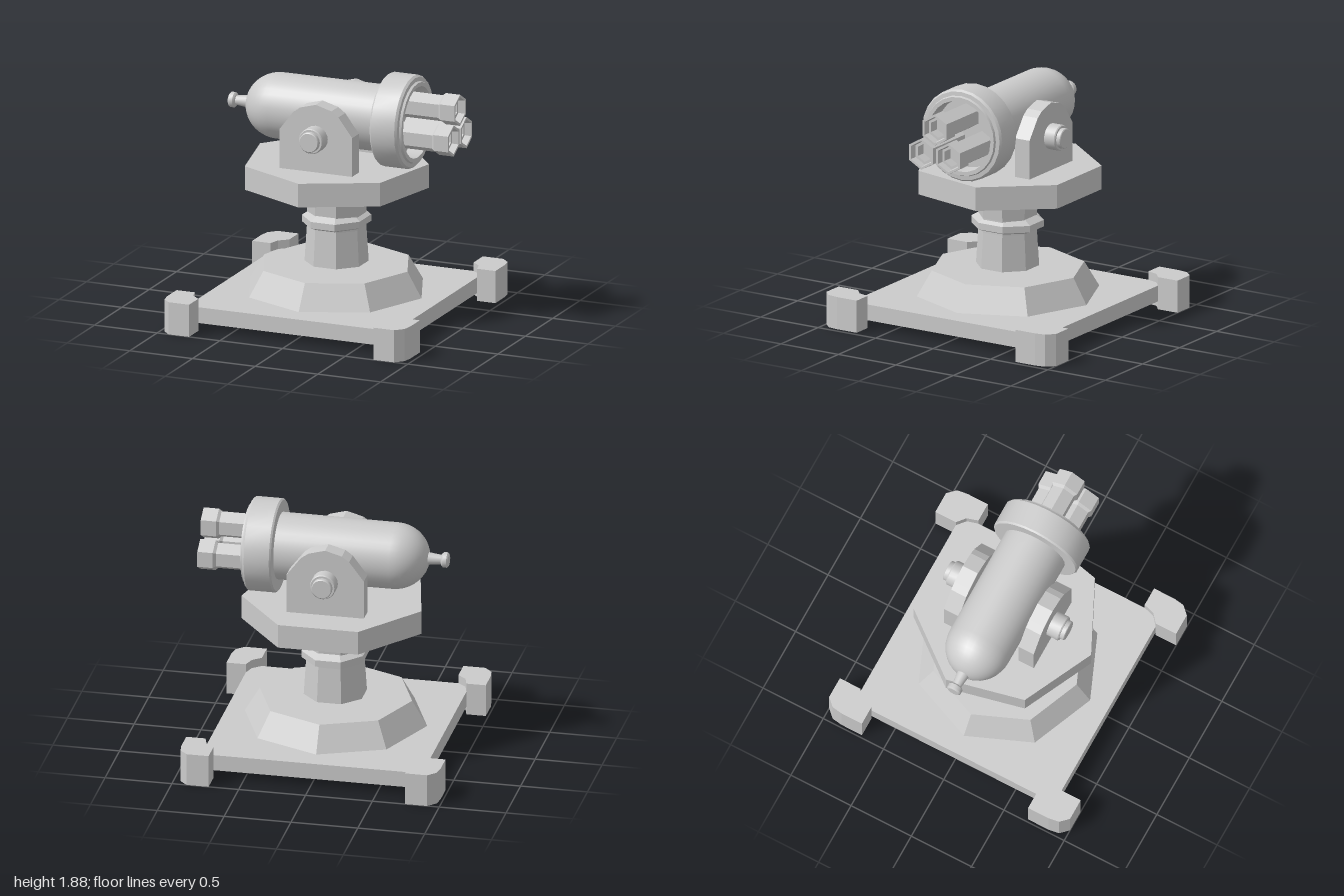
import * as THREE from 'three';
import { toCreasedNormals } from 'three/addons/utils/BufferGeometryUtils.js';

export function createModel() {
  const model = new THREE.Group();
  model.name = 'turret';
  const CX = -0.01;      // shared vertical axis
  const AXIS_Y = 1.528;  // gun axis height
  const smooth = new THREE.MeshStandardMaterial({ color: 0xcccccc, side: THREE.DoubleSide });
  const flat = new THREE.MeshStandardMaterial({ color: 0xcccccc, flatShading: true });

  const add = (name, geometry, material, x = 0, y = 0, z = 0) => {
    const mesh = new THREE.Mesh(geometry, material);
    mesh.name = name;
    mesh.position.set(x, y, z);
    model.add(mesh);
    return mesh;
  };
  const vec = (list) => list.map(([a, b]) => new THREE.Vector2(a, b));
  // Profile of [radius, x] pairs spun about the x axis
  const spin = (profile, sides, start = 0) => {
    const g = new THREE.LatheGeometry(vec(profile), sides, start);
    g.rotateZ(-Math.PI / 2);
    return toCreasedNormals(g, 0.5);
  };

  // Base plate
  add('basePlate', new THREE.BoxGeometry(1.65, 0.12, 1.66), flat, CX, 0.12, 0);

  // Corner feet: chamfered outside, notched inside
  const footOutline = [[0.97, 0.69], [0.825, 0.69], [0.8, 0.775], [0.735, 0.83],
    [0.735, 1], [0.9, 1], [0.958, 0.94], [0.97, 0.86]];
  for (const sx of [-1, 1]) {
    for (const sz of [-1, 1]) {
      const shape = new THREE.Shape(vec(footOutline.map(([x, z]) => [x * sx, -z * sz])));
      const foot = new THREE.ExtrudeGeometry(shape, { depth: 0.245, bevelEnabled: false });
      foot.rotateX(-Math.PI / 2);
      add((sz > 0 ? 'front' : 'back') + (sx > 0 ? 'Left' : 'Right') + 'Foot', foot, flat, CX);
    }
  }

  // Sloped octagonal plinth
  add('plinth', new THREE.CylinderGeometry(0.57, 0.682, 0.19, 8), flat, CX, 0.285, 0);

  // Eight-sided pillar, waisted, with a raised band
  const c = 1 / Math.cos(Math.PI / 8);
  const pillar = new THREE.LatheGeometry(vec([[0, 0.4], [0.217 * c, 0.4], [0.201 * c, 0.67],
    [0.2 * c, 0.78], [0.215 * c, 0.995], [0, 0.995]]), 8, Math.PI / 8);
  add('pillar', pillar, flat, CX + 0.005);
  const band = new THREE.LatheGeometry(vec([[0.19 * c, 0.675], [0.245 * c, 0.70],
    [0.245 * c, 0.75], [0.19 * c, 0.785]]), 8, Math.PI / 8);
  band.scale(0.94, 1, 1.04);
  add('pillarBand', band, flat, CX + 0.005);

  // Seven-sided turntable
  add('turntable', new THREE.CylinderGeometry(0.69, 0.69, 0.18, 7), flat, CX, 1.08, 0);

  // Side brackets with rounded tops, and their pivot pins
  const half = [[0.29, 1.165], [0.29, 1.465], [0.18, 1.61], [0.125, 1.65], [0, 1.685]];
  const outline = [...half, ...half.slice(0, 4).reverse().map(([x, y]) => [-x, y])];
  for (const s of [-1, 1]) {
    const end = s > 0 ? 'front' : 'back';
    const bracket = new THREE.ExtrudeGeometry(new THREE.Shape(vec(outline)),
      { depth: 0.125, bevelEnabled: false });
    add(end + 'Bracket', bracket, flat, CX, 0, s > 0 ? 0.245 : -0.375);

    const pin = new THREE.LatheGeometry(vec([[0.096, 0.3], [0.096, 0.46], [0.09, 0.468],
      [0.076, 0.468], [0.076, 0.498], [0.07, 0.503], [0, 0.503]]), 20);
    pin.rotateX(s * Math.PI / 2);
    add(end + 'Pin', toCreasedNormals(pin, 0.5), smooth, CX, 1.43, 0);
  }

  // Gun body: domed rear, straight barrel casing
  const body = [];
  for (let i = 0; i <= 10; i++) {
    const a = (i / 10) * Math.PI / 2;
    body.push([0.245 * Math.sin(a), -0.455 - 0.255 * Math.cos(a)]);
  }
  body.push([0.248, 0.42]);
  add('body', spin(body, 32), smooth, 0, AXIS_Y, 0);

  // Rear knob on its neck
  add('rearKnob', spin([[0, -0.855], [0.045, -0.855], [0.057, -0.845], [0.057, -0.815],
    [0.045, -0.803], [0.035, -0.80], [0.045, -0.715], [0.052, -0.68]], 16), smooth, 0, AXIS_Y, 0);

  // Muzzle collar: heavy ring, stepped lip and recessed face
  add('collar', spin([[0.24, 0.405], [0.338, 0.405], [0.348, 0.418], [0.348, 0.605],
    [0.335, 0.622], [0.305, 0.625], [0.298, 0.642], [0.268, 0.642], [0.262, 0.52],
    [0, 0.52]], 24), smooth, 0, AXIS_Y, 0);

  // Three hexagonal barrels with thicker hollow tips
  const barrelProfile = [[0.1, 0.5], [0.1, 0.845], [0.119, 0.865], [0.119, 0.98],
    [0.1, 0.98], [0.092, 0.93], [0.07, 0.93], [0.07, 0.85], [0, 0.85]];
  [[1.66, 0], [1.458, 0.117], [1.458, -0.117]].forEach(([y, z], i) => {
    add('barrel' + (i + 1), spin(barrelProfile, 6, Math.PI / 6), flat, 0, y, z);
  });

  return model;
}
